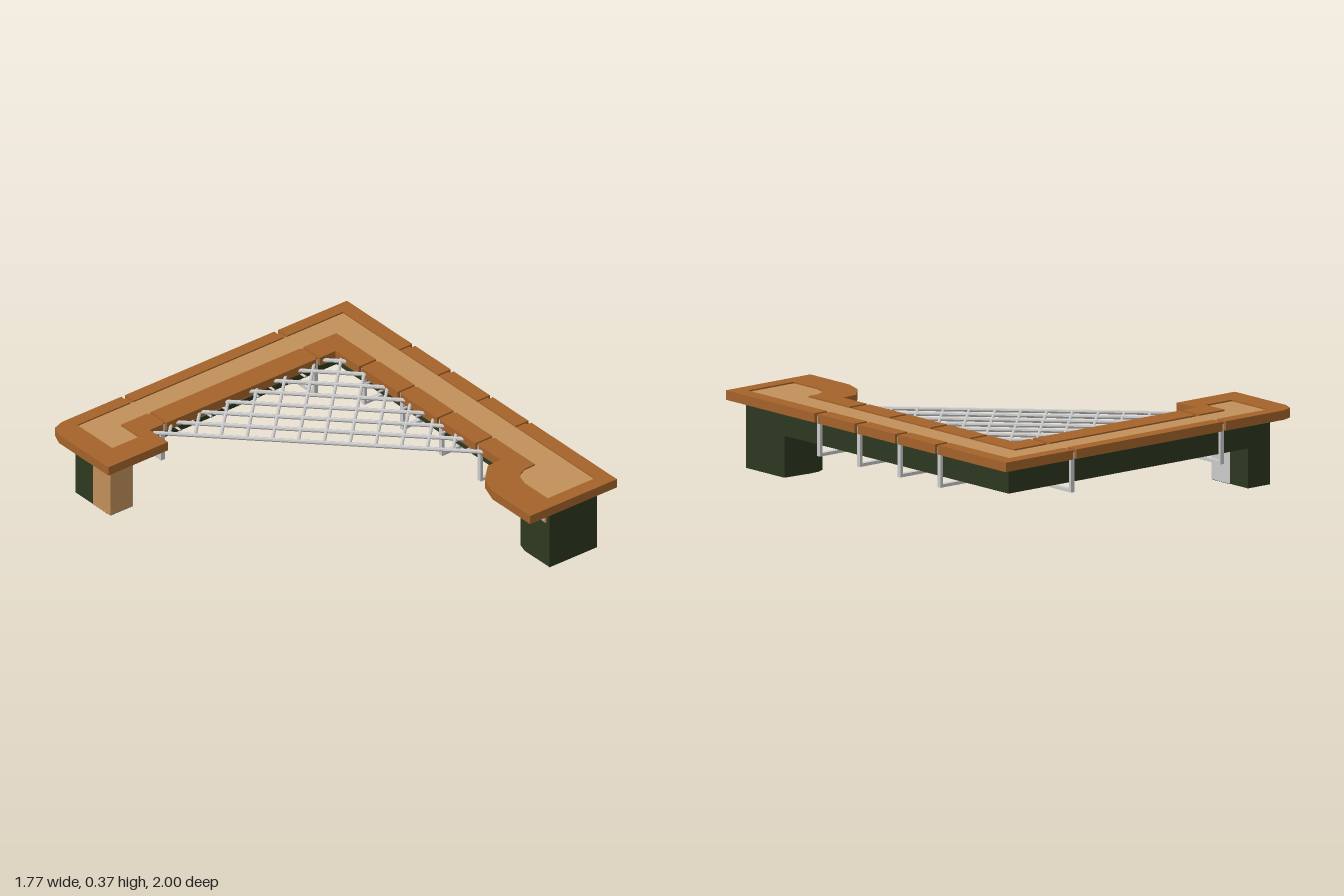
import * as THREE from 'three';

const mat = (color) => new THREE.MeshStandardMaterial({ color, flatShading: true });

export function createModel() {
  const model = new THREE.Group();
  const brown = mat(0xa5632a), tan = mat(0xc1905a), green = mat(0x2d3820), grey = mat(0xcccccc);

  const add = (name, geometry, material) => {
    const mesh = new THREE.Mesh(geometry, material);
    mesh.name = name;
    model.add(mesh);
    return mesh;
  };
  // Box given by its extents
  const box = (name, m, x0, x1, y0, y1, z0, z1) =>
    add(name, new THREE.BoxGeometry(x1 - x0, y1 - y0, z1 - z0), m)
      .position.set((x0 + x1) / 2, (y0 + y1) / 2, (z0 + z1) / 2);
  // Plan outline of [x, z] points raised from y0 to y1
  const slab = (name, m, pts, y0, y1) => {
    const shape = new THREE.Shape(pts.map(([x, z]) => new THREE.Vector2(x, -z)));
    const geo = new THREE.ExtrudeGeometry(shape, { depth: y1 - y0, bevelEnabled: false });
    geo.rotateX(-Math.PI / 2).translate(0, y0, 0);
    add(name, geo, m);
  };

  const W = 0.011, D = 0.015;               // half width and depth of strap notches
  const cutsX = [-0.445, 0.465];            // straps on the back arm
  const cutsZ = [-0.505, -0.22, 0.07, 0.355]; // straps on the side arm
  const IX = 0.57, IZ = -0.69;              // inner edges of the counter
  const notchX = (x, z, dir, d) => [[x - dir * W, z], [x - dir * W, z + d], [x + dir * W, z + d], [x + dir * W, z]];
  const notchZ = (z, x, dir, d) => [[x, z - dir * W], [x + d, z - dir * W], [x + d, z + dir * W], [x, z + dir * W]];

  // Counter base with notched edges
  const leftEnd = [[-0.535, IZ], [-0.535, -0.555], [-0.89, -0.555], [-0.89, -0.92], [-0.865, -0.98], [-0.81, -1]];
  const footEnd = [[0.885, 1], [0.37, 1], [0.37, 0.72], [0.405, 0.62], [0.49, 0.535], [IX, 0.53]];
  slab('counterBase', brown, [
    ...leftEnd,
    ...cutsX.flatMap((x) => notchX(x, -1, 1, D)),
    [0.885, -1],
    ...cutsZ.flatMap((z) => notchZ(z, 0.885, 1, -D)),
    ...footEnd,
    ...[...cutsZ].reverse().flatMap((z) => notchZ(z, IX, -1, D)),
    [IX, IZ],
    ...[...cutsX].reverse().flatMap((x) => notchX(x, IZ, -1, -D)),
  ], 0.325, 0.362);

  // Inlaid panel, lower than the raised border
  const footCurve = [[0.53, 0.93], [0.53, 0.76], [0.545, 0.71], [0.57, 0.68], [0.61, 0.662], [0.67, 0.66]];
  const inlay = [[-0.77, -0.935], [0.81, -0.935], [0.81, 0.93], ...footCurve,
    [0.67, -0.81], [-0.61, -0.81], [-0.61, -0.675], [-0.77, -0.675]];
  slab('counterInlay', tan, inlay, 0.35, 0.363);

  // Raised border in pieces separated by strap grooves
  const R0 = 0.36, R1 = 0.37;
  const [xa, xb] = cutsX, za = cutsZ[0], zd = cutsZ[3];
  slab('leftBorder', brown, [...leftEnd, [xa - W, -1], [xa - W, -0.935], [-0.77, -0.935],
    [-0.77, -0.675], [-0.61, -0.675], [-0.61, -0.81], [xa - W, -0.81], [xa - W, IZ]], R0, R1);
  slab('footBorder', brown, [...footEnd, [IX, zd + W], [0.67, zd + W], ...[...footCurve].reverse(),
    [0.81, 0.93], [0.81, zd + W], [0.885, zd + W]], R0, R1);
  slab('outerCornerBorder', brown, [[xb + W, -1], [0.885, -1], [0.885, za - W], [0.81, za - W],
    [0.81, -0.935], [xb + W, -0.935]], R0, R1);
  slab('innerCornerBorder', brown, [[xb + W, -0.81], [0.67, -0.81], [0.67, za - W], [IX, za - W],
    [IX, IZ], [xb + W, IZ]], R0, R1);
  box('backOuterBorder', brown, xa + W, xb - W, R0, R1, -1, -0.935);
  box('backInnerBorder', brown, xa + W, xb - W, R0, R1, -0.81, IZ);
  for (let i = 0; i < 3; i++) {
    box('sideOuterBorder', brown, 0.81, 0.885, R0, R1, cutsZ[i] + W, cutsZ[i + 1] - W);
    box('sideInnerBorder', brown, IX, 0.67, R0, R1, cutsZ[i] + W, cutsZ[i + 1] - W);
  }

  // Beam beneath the counter
  slab('beam', green, [[-0.785, -0.93], [0.81, -0.93], [0.81, 0.945], [0.53, 0.945],
    ...footCurve.slice(1), [0.67, -0.81], [-0.65, -0.81], [-0.65, -0.8], [-0.785, -0.8]], 0.2, 0.326);

  // Legs
  slab('frontLeg', green, [[0.81, 0.945], [0.53, 0.945], ...footCurve.slice(1), [0.81, 0.67]], 0, 0.21);
  box('backLeg', green, -0.785, -0.65, 0.01, 0.21, -0.93, -0.8);
  box('backLegFront', tan, -0.785, -0.655, 0.01, 0.326, -0.8, -0.67);
  box('backLegSidePanel', grey, -0.655, -0.65, 0.01, 0.326, -0.8, -0.67);
  box('backLegSole', green, -0.784, -0.651, 0.008, 0.012, -0.8, -0.671);

  // Framed plates on the beam and the front leg
  box('backPlateFrame', tan, -0.21, 0.23, 0.232, 0.295, -0.812, -0.8);
  box('backPlate', grey, -0.2, 0.22, 0.241, 0.286, -0.805, -0.797);
  box('legPlateFrame', tan, 0.525, 0.535, 0.232, 0.295, 0.77, 0.92);
  box('legPlate', grey, 0.522, 0.53, 0.241, 0.286, 0.78, 0.91);

  // Straps hanging around the beam
  const T = 0.015;
  for (const x of cutsX) {
    const s = [x - W, x + W];
    box('backStrapOuter', grey, ...s, 0.165, 0.356, -0.986, -0.986 + T);
    box('backStrapInner', grey, ...s, 0.165, 0.356, IZ - T - 0.014, IZ - 0.014);
    box('backStrapBottom', grey, ...s, 0.165, 0.18, -0.986 + T, IZ - T - 0.014);
  }
  for (const z of cutsZ) {
    const s = [z - W, z + W];
    box('sideStrapOuter', grey, 0.871 - T, 0.871, 0.165, 0.356, ...s);
    box('sideStrapInner', grey, IX + 0.014, IX + 0.014 + T, 0.165, 0.356, ...s);
    box('sideStrapBottom', grey, IX + 0.014 + T, 0.871 - T, 0.165, 0.18, ...s);
  }

  // Lattice filling the inner corner
  const rod = (name, x0, z0, x1, z1, y, r) => {
    const a = new THREE.Vector3(x0, y, z0), dir = new THREE.Vector3(x1 - x0, 0, z1 - z0);
    const m = add(name, new THREE.CylinderGeometry(r, r, dir.length(), 8), grey);
    m.position.copy(a).addScaledVector(dir, 0.5);
    m.quaternion.setFromUnitVectors(new THREE.Vector3(0, 1, 0), dir.normalize());
  };
  const X0 = -0.52, EX = 0.58, EZ = -0.7;   // lattice start and its edges just inside the counter
  for (let x = X0; x < 0.52; x += 0.145) rod('latticeRail', x, EZ, EX, EZ + EX - x, 0.345, 0.01);
  for (let s = 0.06; s < 1.08; s += 0.085) {
    const x = X0 + s, z = EZ + s, run = Math.min(s, EX - x);
    rod('latticeRung', x, z, x + run, z - run, 0.343, 0.008);
  }

  // Small pegs under the inner edges
  for (let i = 0; i < 9; i++) {
    const t = -0.36 + i * 0.093;
    rod('backPeg', t, -0.81, t, -0.68, 0.305, 0.006);
    rod('sidePeg', 0.67, t - 0.1, 0.562, t - 0.1, 0.305, 0.006);
  }
  return model;
}
